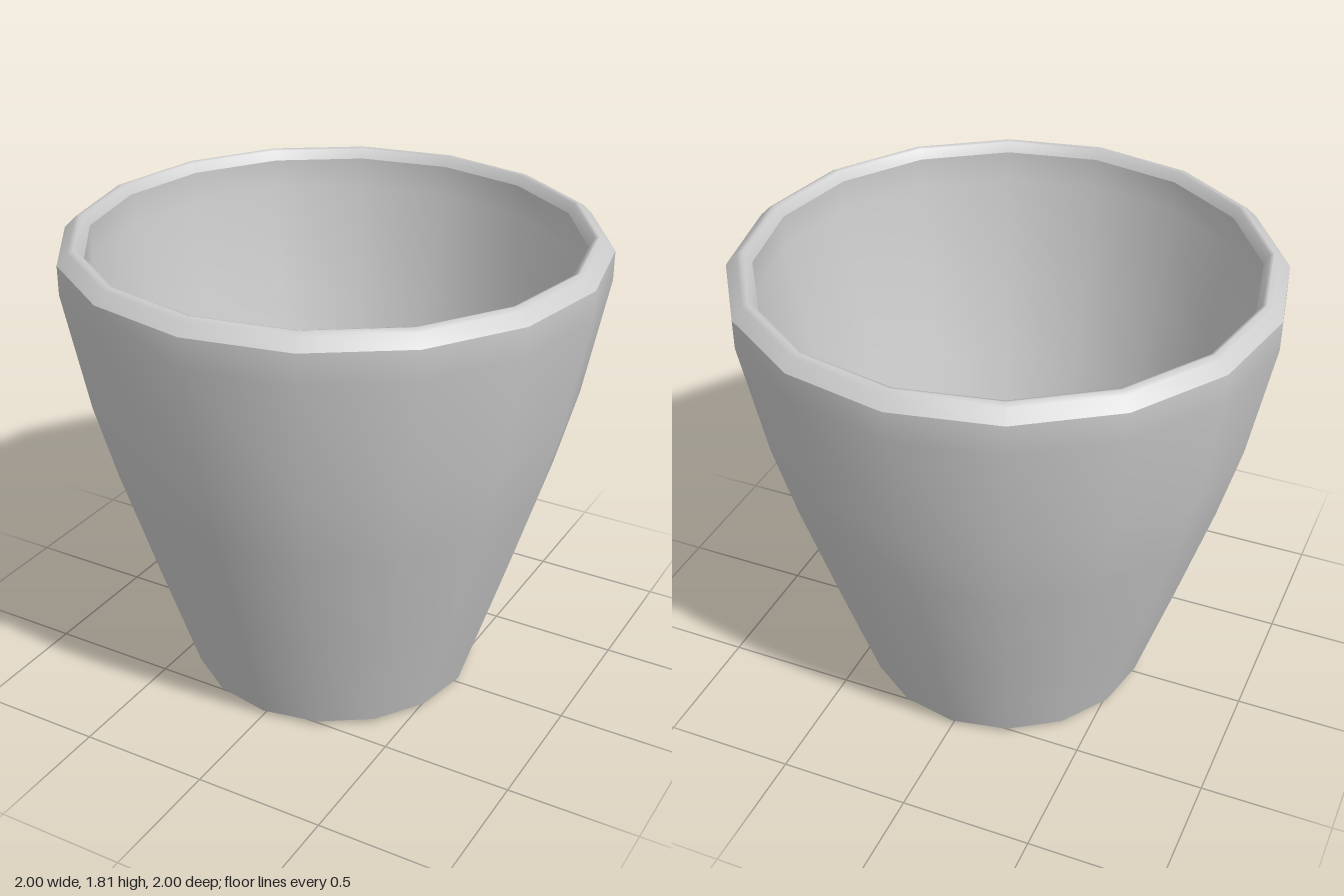
import * as THREE from 'three';

const SIDES = 16;

// Each band is its own lathe, so edges between bands stay sharp
const bands = {
  base: [[0, 0], [0.56, 0.02]],
  outerWall: [[0.56, 0.02], [0.70, 0.46], [0.835, 0.9], [0.915, 1.2], [1, 1.65], [1, 1.76]],
  rim: [[1, 1.76], [0.96, 1.8], [0.94, 1.81], [0.925, 1.805], [0.905, 1.77]],
  innerWall: [[0.905, 1.77], [0.905, 1.65], [0.825, 1.22], [0.745, 0.92], [0.63, 0.49], [0.525, 0.1]],
  floor: [[0.525, 0.1], [0, 0.085]],
};

export function createModel() {
  const cup = new THREE.Group();
  cup.name = 'cup';
  const material = new THREE.MeshStandardMaterial({ color: 0xcccccc });
  for (const [name, profile] of Object.entries(bands)) {
    const points = profile.map(([r, y]) => new THREE.Vector2(r, y));
    const mesh = new THREE.Mesh(new THREE.LatheGeometry(points, SIDES), material);
    mesh.name = name;
    cup.add(mesh);
  }
  return cup;
}
